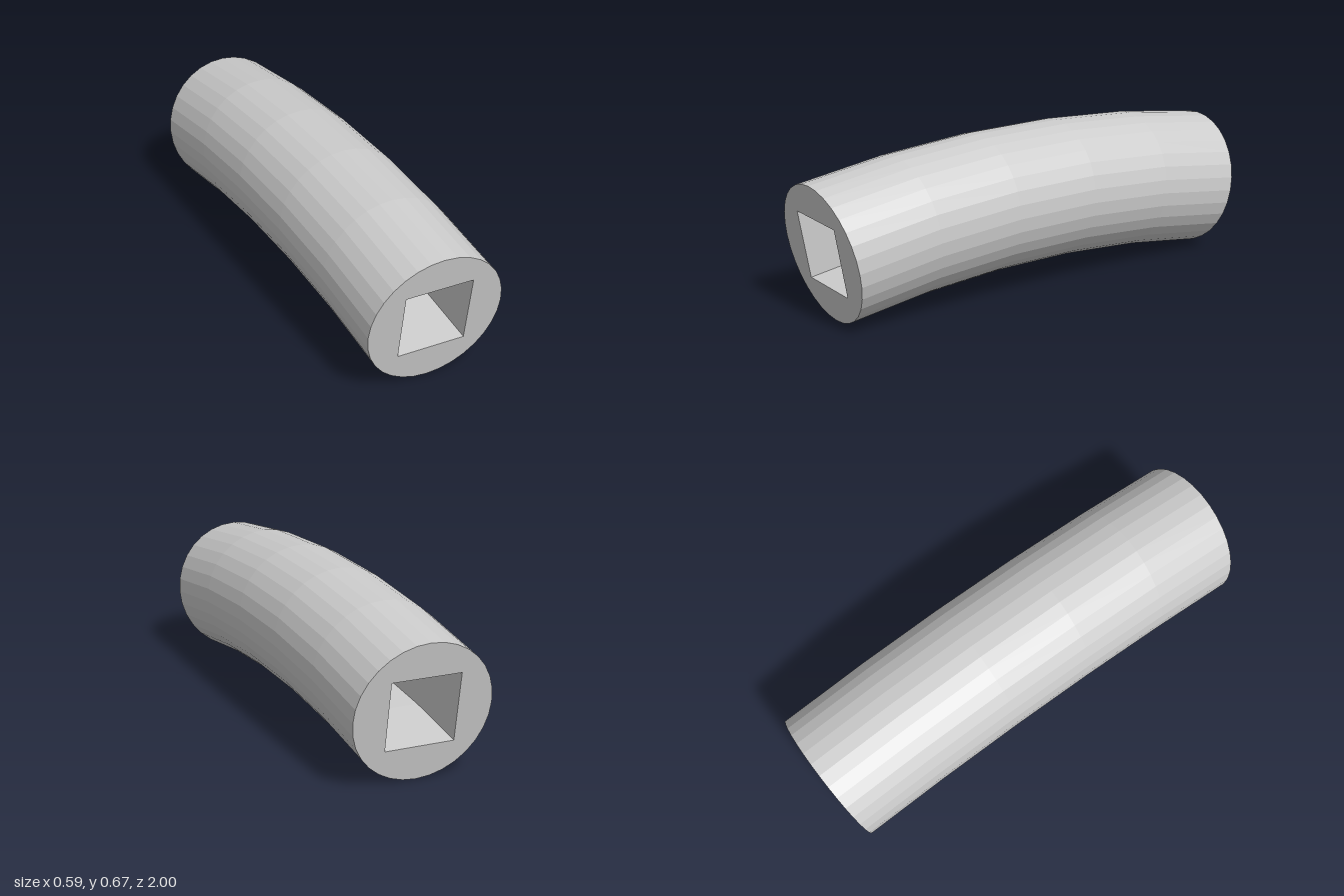
import * as THREE from 'three';

const BEND_RADIUS = 5.464;            // radius of the centre line
const BEND_Y = -5.089;                // height of the bend axis
const HALF_ANGLE = THREE.MathUtils.degToRad(10);
const OUTER = 0.295, HOLE = 0.148, SIDES = 32;

// Sweep a closed profile around the bend axis, from the back end to the front end.
// Counter-clockwise profiles face outward, clockwise ones face inward.
function sweep(profile, segments) {
  const n = profile.length, positions = [], index = [];
  for (let i = 0; i <= segments; i++) {
    const a = HALF_ANGLE * (2 * i / segments - 1);
    for (const p of profile) {
      const r = BEND_RADIUS + p.y;
      positions.push(p.x, BEND_Y + r * Math.cos(a), r * Math.sin(a));
    }
  }
  for (let i = 0; i < segments; i++) {
    for (let j = 0; j < n; j++) {
      const a = i * n + j, b = i * n + (j + 1) % n;
      index.push(a, b, b + n, a, b + n, a + n);
    }
  }
  const g = new THREE.BufferGeometry();
  g.setAttribute('position', new THREE.Float32BufferAttribute(positions, 3));
  g.setIndex(index);
  g.computeVertexNormals();
  return g;
}

export function createModel() {
  const group = new THREE.Group();
  group.name = 'bentTube';
  const material = new THREE.MeshStandardMaterial({ color: 0xcccccc, flatShading: true });
  const add = (name, geometry) => {
    const mesh = new THREE.Mesh(geometry, material);
    mesh.name = name;
    group.add(mesh);
    return mesh;
  };

  const circle = Array.from({ length: SIDES }, (_, i) => {
    const t = (i / SIDES) * Math.PI * 2;
    return new THREE.Vector2(OUTER * Math.cos(t), OUTER * Math.sin(t));
  });
  const square = [[-1, -1], [-1, 1], [1, 1], [1, -1]]
    .map(([x, y]) => new THREE.Vector2(x * HOLE, y * HOLE));

  // Round outside and square bore
  add('outerWall', sweep(circle, 5));
  add('squareBore', sweep(square, 6));

  // Flat end faces, square to the bent centre line
  const face = new THREE.Shape(circle);
  face.holes.push(new THREE.Path(square));
  const cap = new THREE.ShapeGeometry(face);
  cap.translate(0, BEND_RADIUS, 0).rotateX(HALF_ANGLE).translate(0, BEND_Y, 0);
  add('frontEnd', cap);
  add('backEnd', cap).rotation.y = Math.PI;

  return group;
}
